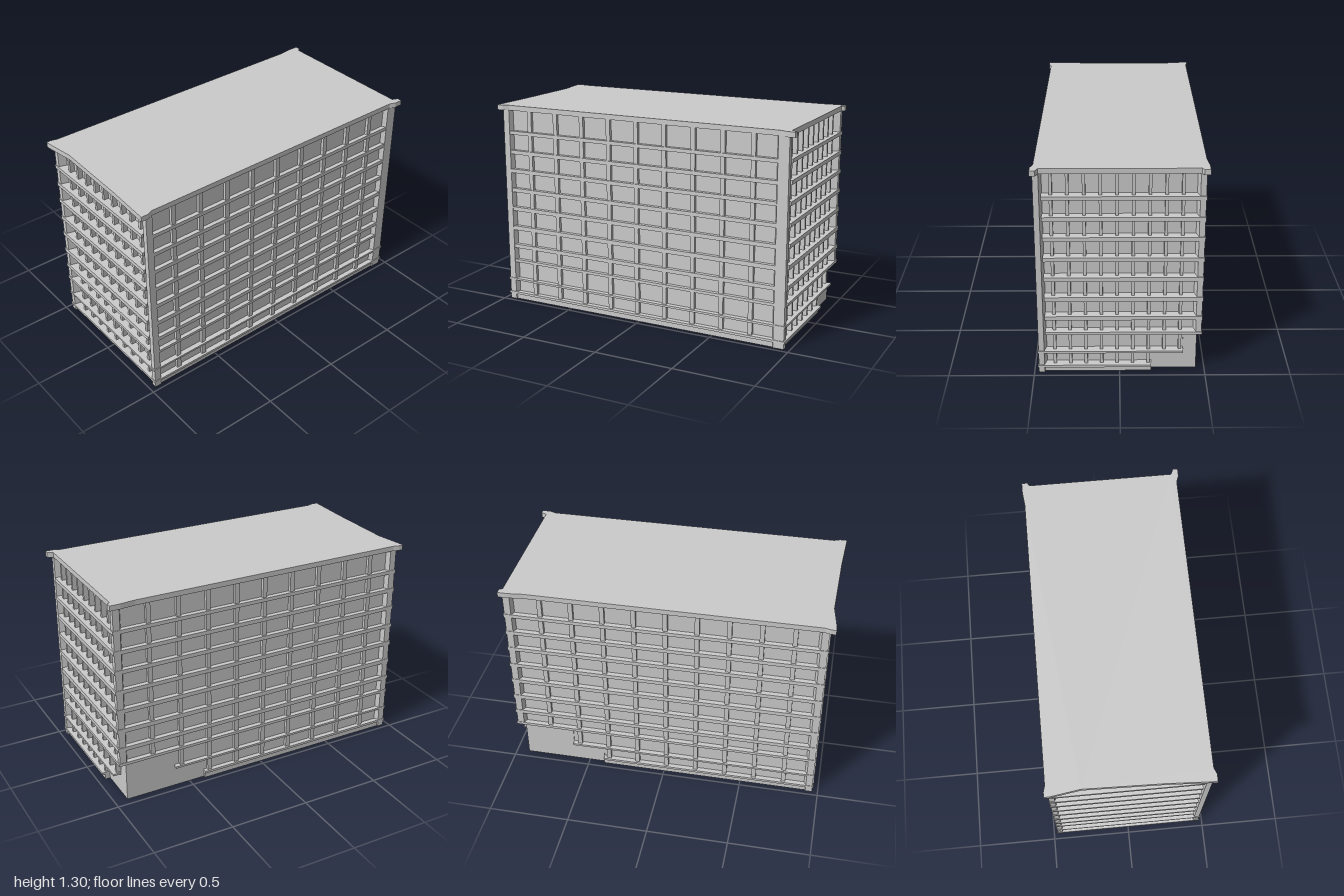
import * as THREE from 'three';

const ROOF_Y = 1.265;
const CORE = { x: 0.915, z: 0.445 };
const OUT = { x: 0.967, z: 0.473 };

export function createModel() {
  const building = new THREE.Group();
  building.name = 'officeBuilding';
  const material = new THREE.MeshStandardMaterial({ color: 0xcccccc, flatShading: true });

  const add = (name, geometry) => {
    const mesh = new THREE.Mesh(geometry, material);
    mesh.name = name;
    building.add(mesh);
  };
  // Box given by its limits on each axis
  const box = (name, x0, x1, y0, y1, z0, z1) => {
    const g = new THREE.BoxGeometry(x1 - x0, y1 - y0, z1 - z0);
    g.translate((x0 + x1) / 2, (y0 + y1) / 2, (z0 + z1) / 2);
    add(name, g);
  };
  // Plan outline of [x, z] points raised from y0 to y1
  const prism = (name, points, y0, y1) => {
    const shape = new THREE.Shape(points.map(([x, z]) => new THREE.Vector2(x, -z)));
    const g = new THREE.ExtrudeGeometry(shape, { depth: y1 - y0, bevelEnabled: false });
    g.rotateX(-Math.PI / 2);
    g.translate(0, y0, 0);
    add(name, g);
  };

  // Window walls
  box('windowWalls', -CORE.x, CORE.x, 0, ROOF_Y, -CORE.z, CORE.z);

  // Plain stepped walls of the entrance recess at one back corner
  const RECESS = [{ x: 0.4, z: -0.185 }, { x: 0.6, z: -0.37 }];
  box('entranceWallLow', RECESS[0].x, 0.919, 0, 0.135, -0.45, RECESS[0].z);
  box('entranceWallHigh', RECESS[1].x, 0.919, 0.135, 0.24, -0.45, RECESS[1].z);

  // Corner posts with slanted inner edges
  for (const sx of [-1, 1]) for (const sz of [-1, 1]) {
    const width = sx > 0 && sz > 0 ? 0.07 : 0.045;
    const plan = [
      [OUT.x - 0.003, OUT.z], [OUT.x - 0.003, 0.44], [CORE.x - 0.005, 0.425],
      [0.88, 0.425], [OUT.x - width - 0.015, CORE.z - 0.002], [OUT.x - width, OUT.z],
    ];
    const bottom = sx > 0 && sz < 0 ? 0.255 : 0;
    prism('cornerPost', plan.map(([x, z]) => [x * sx, z * sz]), bottom, ROOF_Y);
  }

  // Floor bands, [bottom, top]; the two lowest stop at the recess
  const floors = [
    [0.035, 0.05], [0.132, 0.145], [0.257, 0.275], [0.355, 0.38], [0.477, 0.505],
    [0.607, 0.633], [0.733, 0.758], [0.86, 0.885], [0.983, 1.008], [1.11, 1.133],
  ];
  floors.forEach(([y0, y1], i) => {
    const low = i < 2;
    const zFront = low ? 0.478 : 0.43;
    box('frontBand', low ? -0.97 : -0.925, low ? 0.97 : 0.905, y0, y1, 0.42, low ? 0.478 : 0.471);
    box('backBand', -0.97, low ? RECESS[i].x : 0.97, y0, y1, -0.476, -0.42);
    box('leftBand', 0.88, 0.97, y0, y1, low ? RECESS[i].z : -0.476, zFront);
    box('rightBand', -0.97, -0.88, y0, y1, -0.476, zFront);
  });

  // Plinth below the lowest band
  box('frontPlinth', -0.95, 0.95, 0, 0.035, 0.42, 0.466);
  box('backPlinth', -0.95, RECESS[0].x, 0, 0.035, -0.466, -0.42);
  box('leftPlinth', 0.88, 0.95, 0, 0.035, RECESS[0].z, 0.44);
  box('rightPlinth', -0.95, -0.88, 0, 0.035, -0.44, 0.44);

  // Window mullions between the floors
  const lowestY = (inside) => (inside(RECESS[1]) ? 0.257 : inside(RECESS[0]) ? 0.135 : 0.035);
  for (let i = 0; i < 9; i++) {
    const x = -0.775 + 0.19 * i;
    const z = 0.378 - 0.091 * i;
    const backY = lowestY((r) => x > r.x);
    const leftY = lowestY((r) => z < r.z);
    box('frontMullion', x - 0.014, x + 0.014, 0.035, ROOF_Y, 0.43, 0.464);
    box('backMullion', x - 0.014, x + 0.014, backY, ROOF_Y, -0.464, -0.43);
    box('leftMullion', 0.9, 0.945, leftY, ROOF_Y, z - 0.009, z + 0.009);
    box('rightMullion', -0.945, -0.9, 0.035, ROOF_Y, z - 0.009, z + 0.009);
  }

  // Roof slab with flared corners
  prism('roofSlab', [
    [-1, -0.49], [-0.97, -0.49], [-0.935, -0.48], [0.83, -0.48], [0.92, -0.49],
    [0.985, -0.49], [0.985, -0.455], [0.965, -0.445], [0.965, 0.44], [1, 0.455],
    [1, 0.485], [0.95, 0.485], [0.91, 0.47], [-0.92, 0.47], [-0.955, 0.485],
    [-1, 0.485], [-0.985, 0.2], [-0.973, -0.28], [-1, -0.46],
  ], ROOF_Y, 1.297);

  return building;
}
